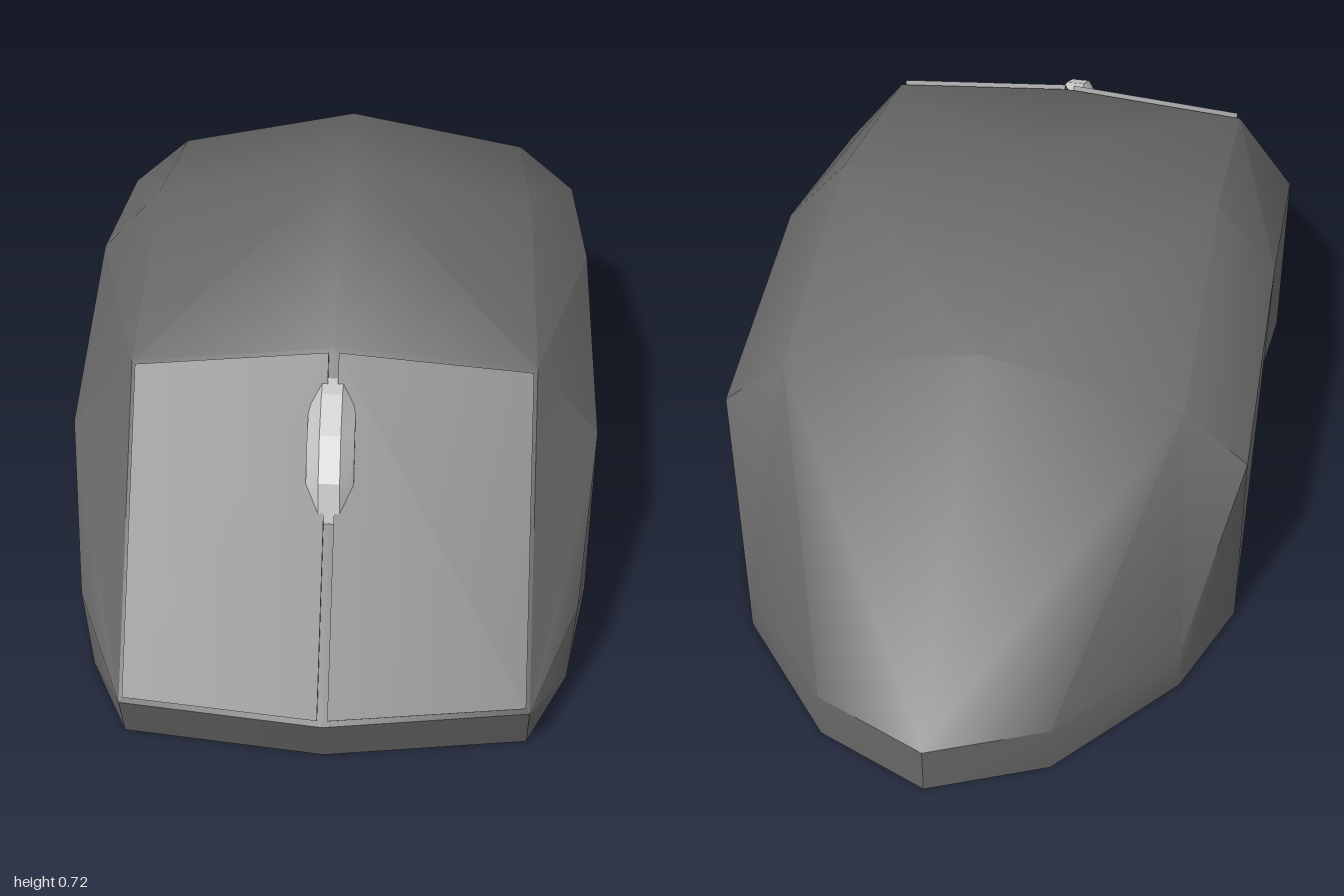
import * as THREE from 'three';
import { toCreasedNormals } from 'three/addons/utils/BufferGeometryUtils.js';

const V = (x, y, z) => new THREE.Vector3(x, y, z);
const material = (color) => new THREE.MeshStandardMaterial({ color });

// Collects triangles together with their mirror images across x = 0.
function mirroredBuilder() {
  const pos = [];
  const tri = (a, b, c) => {
    const area = b.clone().sub(a).cross(c.clone().sub(a)).length();
    if (area < 1e-7) return;
    for (const p of [a, b, c]) pos.push(p.x, p.y, p.z);
    for (const p of [a, c, b]) pos.push(-p.x, p.y, p.z);
  };
  // Quad a-b-c-d, split along a-c, or along b-d when flip is set
  const quad = (a, b, c, d, flip = false) => {
    if (flip) { tri(a, b, d); tri(b, c, d); }
    else { tri(a, b, c); tri(a, c, d); }
  };
  const build = (crease) => {
    const g = new THREE.BufferGeometry();
    g.setAttribute('position', new THREE.Float32BufferAttribute(pos, 3));
    g.computeVertexNormals();
    return toCreasedNormals(g, crease);
  };
  return { quad, build };
}

// Half cross-sections from nose to tail: centre, shoulder, side edge
const rows = [
  [V(0, 0.11, 0.96), V(0.38, 0.11, 0.91), V(0.475, 0.19, 0.7)],
  [V(0, 0.59, 0.434), V(0.39, 0.555, 0.44), V(0.515, 0.4, 0.43)],
  [V(0, 0.72, -0.05), V(0.39, 0.65, -0.05), V(0.515, 0.51, -0.05)],
  [V(0, 0.59, -0.535), V(0.39, 0.51, -0.535), V(0.515, 0.4, -0.535)],
  [V(0, 0.1, -1.083), V(0.22, 0.1, -0.99), V(0.43, 0.1, -0.745)],
];

// Half outline of the base, nose to tail, with a narrow waist
const base = [
  V(0, 0, 0.92), V(0.38, 0, 0.87), V(0.465, 0, 0.69), V(0.515, 0, 0.43), V(0.465, 0, -0.05),
  V(0.515, 0, -0.535), V(0.43, 0, -0.745), V(0.22, 0, -0.99), V(0, 0, -1.083),
];

function bodyGeometry() {
  const { quad, build } = mirroredBuilder();
  // Domed top
  for (let i = 0; i < rows.length - 1; i++) {
    for (let j = 0; j < 2; j++) {
      quad(rows[i][j], rows[i][j + 1], rows[i + 1][j + 1], rows[i + 1][j], j === 0);
    }
  }
  // Side walls and underside
  const rim = [...rows[0], rows[1][2], rows[2][2], rows[3][2], ...[...rows[4]].reverse()];
  for (let k = 0; k < rim.length - 1; k++) {
    const b0 = base[k], b1 = base[k + 1];
    quad(rim[k], b0, b1, rim[k + 1]);
    quad(V(0, 0, b0.z), V(0, 0, b1.z), b1, b0);
  }
  return build(0.7);
}

// Pair of thin click plates lying on the sloping front panel
function buttonGeometry() {
  const { quad, build } = mirroredBuilder();
  const [n0, n1] = rows[0], [r0, r1] = rows[1];
  const at = (u, v) => n0.clone().lerp(n1, u).lerp(r0.clone().lerp(r1, u), v);
  const low = [at(0.025, 0.015), at(0.98, 0.015), at(0.98, 0.985), at(0.025, 0.985)];
  const high = low.map((p) => p.clone().add(V(0, 0.009, 0.009)));
  quad(...high, true);
  for (let k = 0; k < 4; k++) {
    const n = (k + 1) % 4;
    quad(low[k], low[n], high[n], high[k]);
  }
  return build(0.4);
}

// Bevelled scroll wheel turning about the x axis
function wheelGeometry() {
  const profile = [[0, -0.045], [0.165, -0.045], [0.2, -0.02], [0.2, 0.02], [0.165, 0.045], [0, 0.045]];
  const g = new THREE.LatheGeometry(profile.map(([r, y]) => new THREE.Vector2(r, y)), 14);
  return toCreasedNormals(g.rotateZ(Math.PI / 2), 0.3);
}

export function createModel() {
  const model = new THREE.Group();
  model.name = 'computerMouse';

  // The whole mouse is turned on the table
  const mouse = new THREE.Group();
  mouse.name = 'mouse';
  mouse.rotation.y = THREE.MathUtils.degToRad(23.3);
  mouse.position.set(-0.014, 0, 0.006);
  model.add(mouse);

  const add = (name, geometry, color) => {
    const mesh = new THREE.Mesh(geometry, material(color));
    mesh.name = name;
    mouse.add(mesh);
    return mesh;
  };
  add('body', bodyGeometry(), 0x666666);
  add('buttons', buttonGeometry(), 0x666666);
  add('scrollWheel', wheelGeometry(), 0xcccccc).position.set(0, 0.355, 0.485);
  return model;
}
